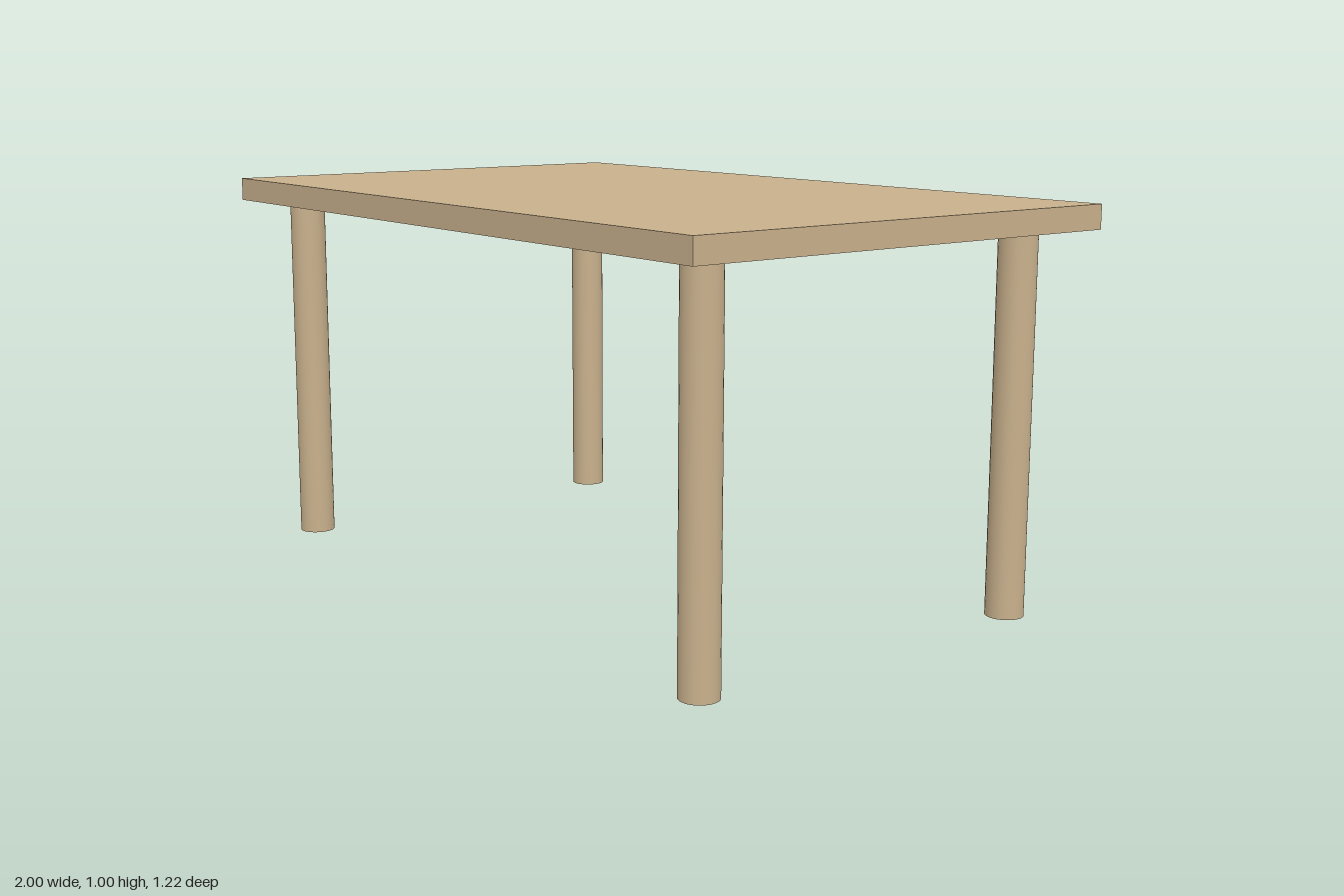
import * as THREE from 'three';

export function createModel() {
  const table = new THREE.Group();
  table.name = 'table';
  const wood = new THREE.MeshStandardMaterial({ color: 0xc8b08c });

  const height = 1, thickness = 0.06, legHeight = height - thickness;

  // Flat rectangular top
  const top = new THREE.Mesh(new THREE.BoxGeometry(2, thickness, 1.22), wood);
  top.name = 'tableTop';
  top.position.y = height - thickness / 2;
  table.add(top);

  // Four round legs, set in from the corners
  const legGeometry = new THREE.CylinderGeometry(0.047, 0.047, legHeight, 32);
  for (const [side, x] of [['Left', 0.867], ['Right', -0.867]]) {
    for (const [end, z] of [['front', 0.478], ['back', -0.478]]) {
      const leg = new THREE.Mesh(legGeometry, wood);
      leg.name = `${end}${side}Leg`;
      leg.position.set(x, legHeight / 2, z);
      table.add(leg);
    }
  }
  return table;
}
